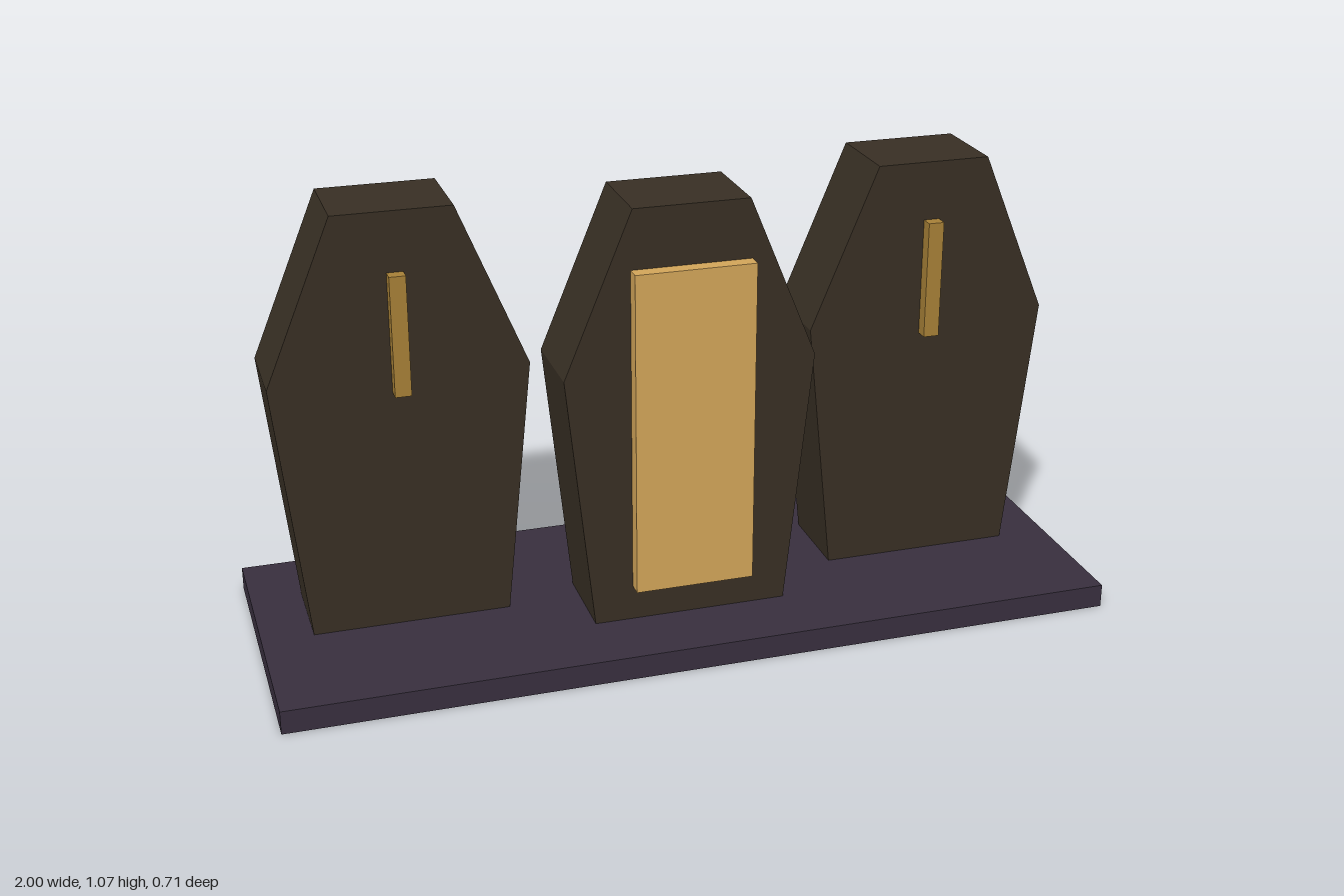
import * as THREE from 'three';

const mat = (name, color) => {
  const m = new THREE.MeshStandardMaterial({ color });
  m.name = name;
  return m;
};

export function createModel() {
  const wood = mat('dark wood', 0x382f24);
  const stone = mat('purple stone', 0x382f3e);
  const gold = mat('pale gold', 0xd2a559);
  const brass = mat('dull brass', 0xa68037);
  const model = new THREE.Group();
  model.name = 'coffinDisplay';

  const box = (name, w, h, d, x, y, z, material) => {
    const mesh = new THREE.Mesh(new THREE.BoxGeometry(w, h, d), material);
    mesh.name = name;
    mesh.position.set(x, y, z);
    model.add(mesh);
  };

  // Plinth
  box('base', 2, 0.057, 0.714, 0, 0.0285, 0, stone);

  // Six-sided coffin outline, its foot sunk into the plinth
  const outline = new THREE.Shape([
    [-0.229, 0.005], [0.229, 0.005], [0.3, 0.68], [0.138, 1.071], [-0.138, 1.071], [-0.3, 0.68],
  ].map(([x, y]) => new THREE.Vector2(x, y)));
  const coffinGeometry = new THREE.ExtrudeGeometry(outline, { depth: 0.214, bevelEnabled: false });

  // Middle coffin stands forward of the outer two
  for (const [name, x, back] of [
    ['rightCoffin', -0.643, -0.179], ['middleCoffin', 0, -0.036], ['leftCoffin', 0.643, -0.179],
  ]) {
    const coffin = new THREE.Mesh(coffinGeometry, wood);
    coffin.name = name;
    coffin.position.set(x, 0, back);
    model.add(coffin);
  }

  // Raised panel on the middle coffin, narrow bars on the outer ones
  box('frontPanel', 0.286, 0.786, 0.036, 0, 0.536, 0.196, gold);
  for (const side of [-1, 1]) {
    box(side < 0 ? 'rightBar' : 'leftBar', 0.038, 0.286, 0.034, side * 0.643, 0.786, 0.049, brass);
  }

  return model;
}
